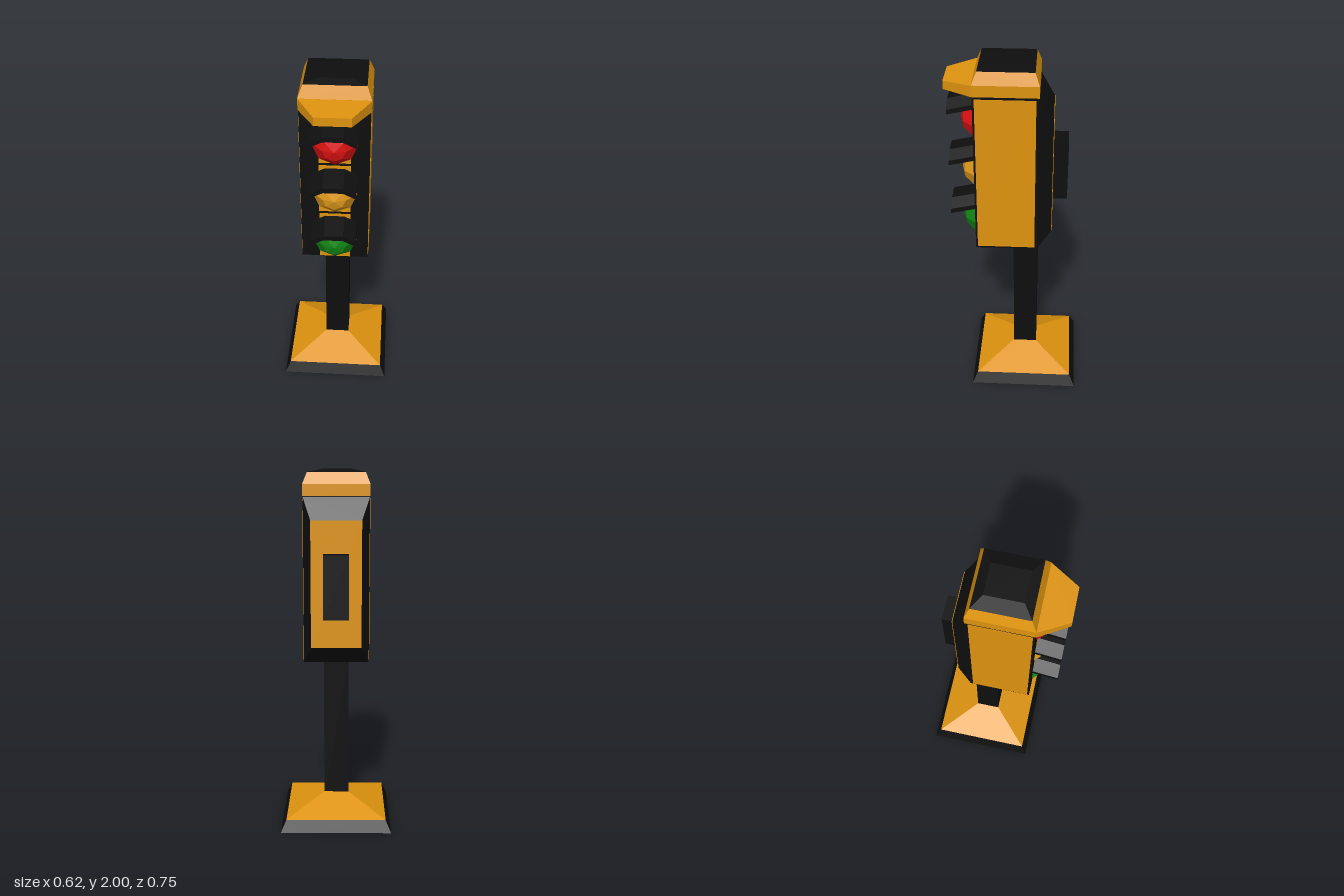
import * as THREE from 'three';
import { ConvexGeometry } from 'three/addons/geometries/ConvexGeometry.js';

const paint = (name, color) => Object.assign(new THREE.MeshStandardMaterial({ color }), { name });

export function createModel() {
  const black = paint('black', 0x0e0e0e);
  const orange = paint('orange', 0xde930f);
  const amber = paint('amber', 0xe09a1c);
  const red = paint('red', 0xdc1212);
  const green = paint('green', 0x128514);

  const model = new THREE.Group();
  model.name = 'trafficLight';
  const add = (name, geometry, material, parent = model) => {
    const mesh = new THREE.Mesh(geometry, material);
    mesh.name = name;
    parent.add(mesh);
    return mesh;
  };
  // box given by its limits on each axis
  const box = (name, material, x0, x1, y0, y1, z0, z1) => {
    const g = new THREE.BoxGeometry(x1 - x0, y1 - y0, z1 - z0);
    g.translate((x0 + x1) / 2, (y0 + y1) / 2, (z0 + z1) / 2);
    return add(name, g, material);
  };
  // faceted solid through horizontal rectangles [y, halfWidth, zBack, zFront]
  const stack = (name, material, levels) => {
    const points = [];
    for (const [y, w, z0, z1] of levels)
      for (const x of [-w, w]) for (const z of [z0, z1]) points.push(new THREE.Vector3(x, y, z));
    return add(name, new ConvexGeometry(points), material);
  };
  const faceted = (g) => {
    const flat = g.index ? g.toNonIndexed() : g;
    flat.computeVertexNormals();
    return flat;
  };

  // base and pole
  stack('basePlinth', black, [[0, 0.31, -0.373, 0.247], [0.065, 0.28, -0.343, 0.217]]);
  stack('baseSlope', orange, [[0.065, 0.28, -0.343, 0.217], [0.15, 0.07, -0.13, 0.008]]);
  box('pole', black, -0.07, 0.07, 0.1, 0.94, -0.13, 0.008);

  // housing with tapered back
  box('housing', black, -0.183, 0.183, 0.93, 1.857, -0.13, 0.215);
  stack('housingBack', black, [
    [0.93, 0.183, -0.13, -0.1], [1.85, 0.183, -0.13, -0.1],
    [1.03, 0.14, -0.207, -0.207], [1.73, 0.14, -0.207, -0.207],
  ]);
  box('backPanel', orange, -0.14, 0.14, 1.03, 1.73, -0.21, -0.206);
  box('controlBox', black, -0.07, 0.07, 1.2, 1.55, -0.29, -0.2);

  // thin orange panels on the sides, underside and front
  for (const [name, s] of [['leftPanel', 1], ['rightPanel', -1]])
    box(name, orange, s * 0.184 - 0.002, s * 0.184 + 0.002, 0.942, 1.843, -0.115, 0.204);
  box('undersidePanel', orange, -0.172, 0.172, 0.928, 0.932, -0.118, 0.204);
  for (const [y0, y1] of [[0.932, 1.225], [1.24, 1.534], [1.549, 1.855]])
    box('frontPanel', orange, -0.085, 0.085, y0, y1, 0.213, 0.217);

  // lamps, each with an arched, sloping visor
  const lens = new THREE.LatheGeometry(
    [[0.12, 0.215], [0.062, 0.278], [0, 0.296]].map(([r, h]) => new THREE.Vector2(r, h)), 8);
  lens.rotateX(Math.PI / 2);
  const lensGeometry = faceted(lens);

  const arch = new THREE.Shape([
    [-0.12, 0.098], [-0.052, 0.132], [0.052, 0.132], [0.12, 0.098],
    [0.12, 0.125], [0.052, 0.16], [-0.052, 0.16], [-0.12, 0.125],
  ].map(([x, y]) => new THREE.Vector2(x, y)));
  const visor = new THREE.ExtrudeGeometry(arch, { depth: 0.145, bevelEnabled: false });
  const p = visor.attributes.position;
  for (let i = 0; i < p.count; i++) p.setY(i, p.getY(i) - p.getZ(i) * 0.23);
  visor.translate(0, 0, 0.213);
  const visorGeometry = faceted(visor);

  for (const [name, y, material] of [['red', 1.66, red], ['amber', 1.357, amber], ['green', 1.05, green]]) {
    const lamp = new THREE.Group();
    lamp.name = name + 'Lamp';
    lamp.position.y = y;
    add(name + 'Lens', lensGeometry, material, lamp);
    add(name + 'Visor', visorGeometry, black, lamp);
    model.add(lamp);
  }

  // roof cap, dark top and front hood
  stack('roof', orange, [
    [1.857, 0.186, -0.132, 0.217], [1.92, 0.186, -0.132, 0.217], [1.985, 0.16, -0.108, 0.19],
  ]);
  stack('roofTop', black, [[1.985, 0.16, -0.108, 0.19], [2, 0.085, -0.06, 0.14]]);
  const hood = [];
  for (const s of [-1, 1])
    for (const [x, y, z] of [[0.186, 1.857, 0.21], [0.186, 1.92, 0.21], [0.186, 1.857, 0.217],
      [0.186, 1.919, 0.217], [0.094, 1.857, 0.372], [0.094, 1.904, 0.372]])
      hood.push(new THREE.Vector3(s * x, y, z));
  add('hood', new ConvexGeometry(hood), orange);

  return model;
}
